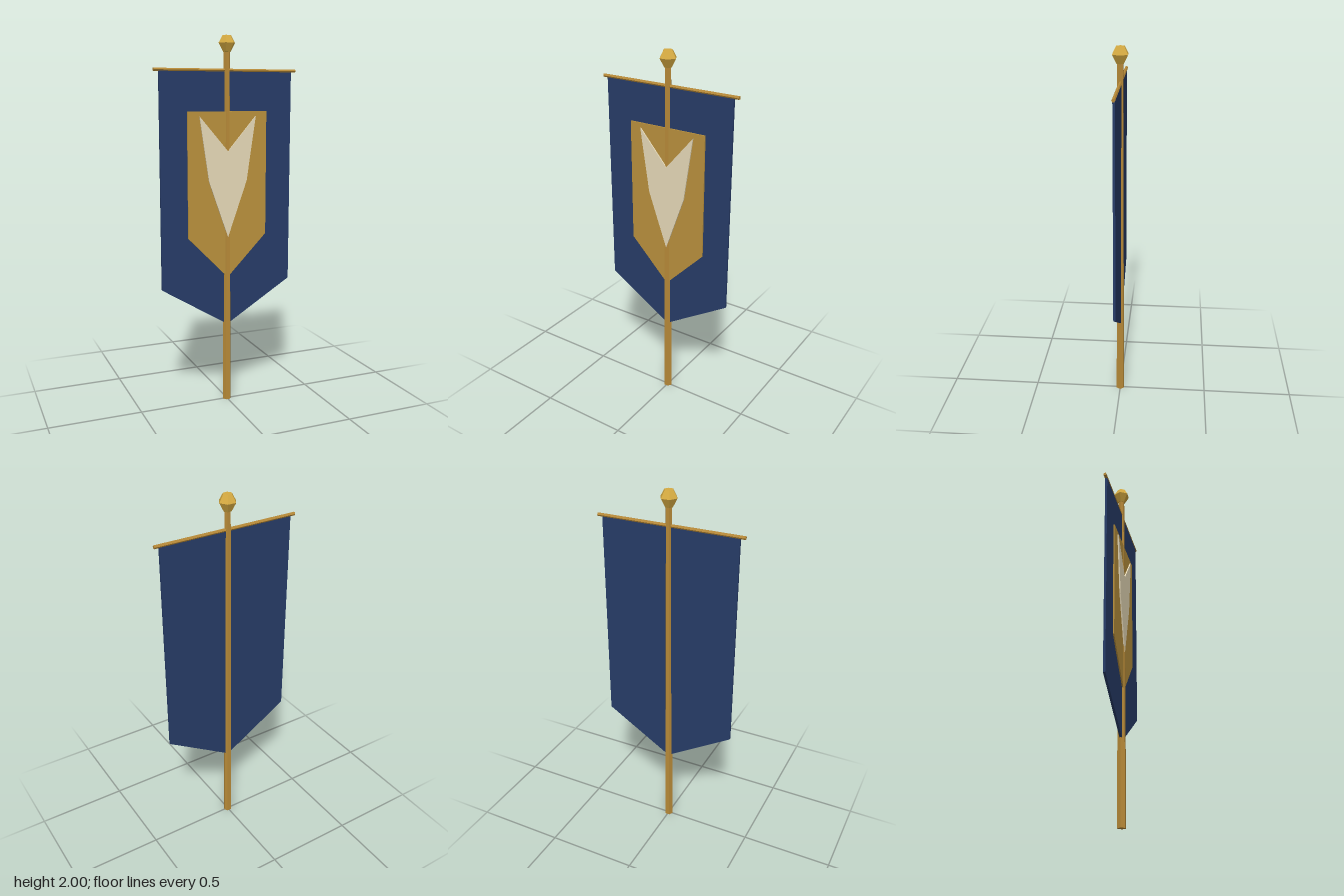
import * as THREE from 'three';

const paint = (name, color) => {
  const m = new THREE.MeshStandardMaterial({ color });
  m.name = name;
  return m;
};

// Half outline (x >= 0, top to bottom) mirrored into a closed shape and given thickness
function plate(name, half, z0, z1, material) {
  const left = half.filter(([x]) => x > 0).map(([x, y]) => [-x, y]).reverse();
  const shape = new THREE.Shape([...half, ...left].map(([x, y]) => new THREE.Vector2(x, y)));
  const geo = new THREE.ExtrudeGeometry(shape, { depth: z1 - z0, bevelEnabled: false });
  geo.translate(0, 0, z0);
  const mesh = new THREE.Mesh(geo, material);
  mesh.name = name;
  return mesh;
}

// Six-sided turned part with flat facets and corners on the x axis
function turned(name, profile, material) {
  const points = profile.map(([r, y]) => new THREE.Vector2(r, y));
  const geo = new THREE.LatheGeometry(points, 6, Math.PI / 2).toNonIndexed();
  geo.computeVertexNormals();
  const mesh = new THREE.Mesh(geo, material);
  mesh.name = name;
  return mesh;
}

export function createModel() {
  const model = new THREE.Group();
  model.name = 'banner';
  const brass = paint('pole brass', 0xb88a38);
  const gold = paint('finial gold', 0xd6ab42);
  const panelGold = paint('panel gold', 0xba913d);
  const navy = paint('navy cloth', 0x273c68);
  const cream = paint('cream', 0xe9dcba);

  // Tapered pole and faceted finial
  model.add(turned('pole', [[0, 0], [0.024, 0], [0.017, 1.93], [0, 1.93]], brass));
  model.add(turned('finial', [[0, 1.915], [0.021, 1.915], [0.046, 1.961], [0.024, 2], [0, 2]], gold));

  // Crossbar
  const barGeo = new THREE.CylinderGeometry(0.009, 0.009, 0.8, 6).toNonIndexed();
  barGeo.computeVertexNormals();
  barGeo.rotateZ(Math.PI / 2);
  const bar = new THREE.Mesh(barGeo, brass);
  bar.name = 'crossbar';
  bar.position.set(0, 1.822, -0.001);
  model.add(bar);

  // Cloth, pointed panel and chevron emblem, layered towards the front
  model.add(plate('cloth', [[0, 0.44], [0.373, 0.67], [0.373, 1.815]], -0.006, 0.006, navy));
  model.add(plate('panel', [[0, 0.71], [0.225, 0.94], [0.225, 1.61]], 0.006, 0.013, panelGold));
  model.add(plate('emblem', [[0, 0.935], [0.108, 1.24], [0.16, 1.585], [0, 1.4]], 0.013, 0.02, cream));

  return model;
}
